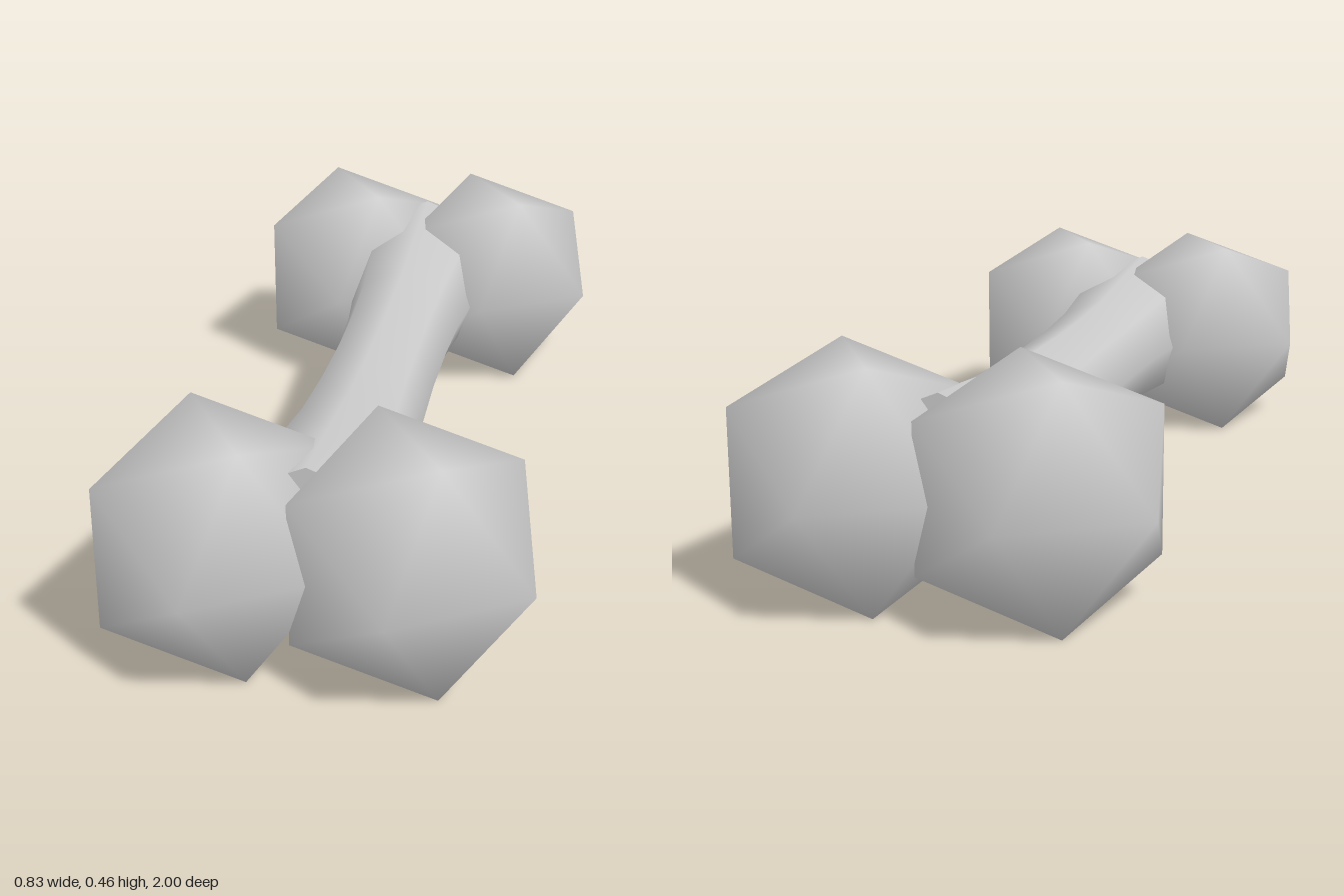
import * as THREE from 'three';
import { mergeVertices } from 'three/addons/utils/BufferGeometryUtils.js';

const CENTRE_Y = 0.23;
const HALF_LENGTH = 0.77;

// Twelve-point ball, smooth shaded, with one corner pointing along z
function knobGeometry(radius) {
  let geometry = new THREE.IcosahedronGeometry(radius, 0);
  geometry.deleteAttribute('normal');
  geometry.deleteAttribute('uv');
  geometry = mergeVertices(geometry, 1e-4);
  geometry.rotateX(Math.atan(2 / (1 + Math.sqrt(5))));
  geometry.rotateZ(Math.PI / 2);
  geometry.computeVertexNormals();
  return geometry;
}

export function createModel() {
  const bone = new THREE.Group();
  bone.name = 'bone';
  const material = new THREE.MeshStandardMaterial({ color: 0xcccccc });

  // Eight-sided shaft, narrow in the middle and flaring to both ends
  const half = [[0, 0.123], [0.19, 0.126], [0.36, 0.134], [0.57, 0.157], [HALF_LENGTH, 0.175]];
  const profile = [
    ...half.slice(1).reverse().map(([z, r]) => new THREE.Vector2(r, -z)),
    ...half.map(([z, r]) => new THREE.Vector2(r, z)),
  ];
  const shaft = new THREE.Mesh(new THREE.LatheGeometry(profile, 8).rotateX(Math.PI / 2), material);
  shaft.name = 'shaft';
  shaft.position.y = CENTRE_Y;
  bone.add(shaft);

  const knob = knobGeometry(0.27);
  for (const end of [1, -1]) {
    const endName = end > 0 ? 'front' : 'back';

    // Flat cap closing the shaft
    const cap = new THREE.Mesh(new THREE.CircleGeometry(0.175, 8), material);
    cap.name = endName + 'ShaftCap';
    cap.position.set(0, CENTRE_Y, end * HALF_LENGTH);
    if (end < 0) cap.rotation.y = Math.PI;
    bone.add(cap);

    // Pair of overlapping knobs
    for (const side of [1, -1]) {
      const mesh = new THREE.Mesh(knob, material);
      mesh.name = endName + (side > 0 ? 'Left' : 'Right') + 'Knob';
      mesh.position.set(side * 0.176, CENTRE_Y, end * 0.73);
      bone.add(mesh);
    }
  }
  return bone;
}
